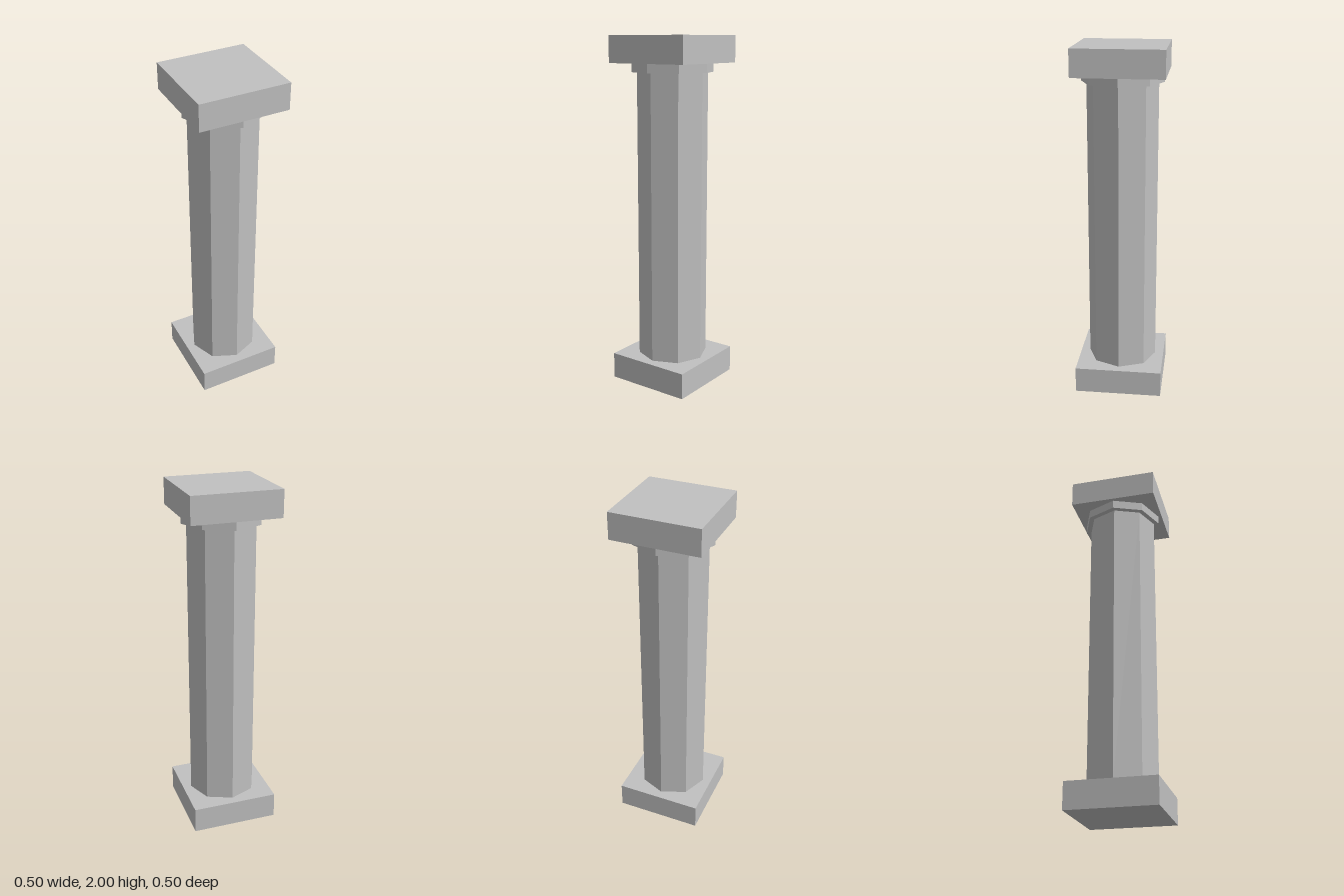
import * as THREE from 'three';

export function createModel() {
  const model = new THREE.Group();
  model.name = 'column';

  const stone = new THREE.MeshStandardMaterial({ color: 0xc0c0c0, flatShading: true });
  stone.name = 'grey stone';

  // Places a part so that its underside sits at the given height
  function addPart(name, geometry, bottom, height) {
    const mesh = new THREE.Mesh(geometry, stone);
    mesh.name = name;
    mesh.position.y = bottom + height / 2;
    model.add(mesh);
  }

  const slab = (height) => new THREE.BoxGeometry(0.5, height, 0.5);
  const octagon = (radius, height) => new THREE.CylinderGeometry(radius, radius, height, 8);

  // Square base, octagonal shaft, wider collar and square capital
  addPart('base', slab(0.15), 0, 0.15);
  addPart('shaft', octagon(0.2, 1.65), 0.15, 1.65);
  addPart('collar', octagon(0.23, 0.05), 1.8, 0.05);
  addPart('capital', slab(0.15), 1.85, 0.15);

  return model;
}
